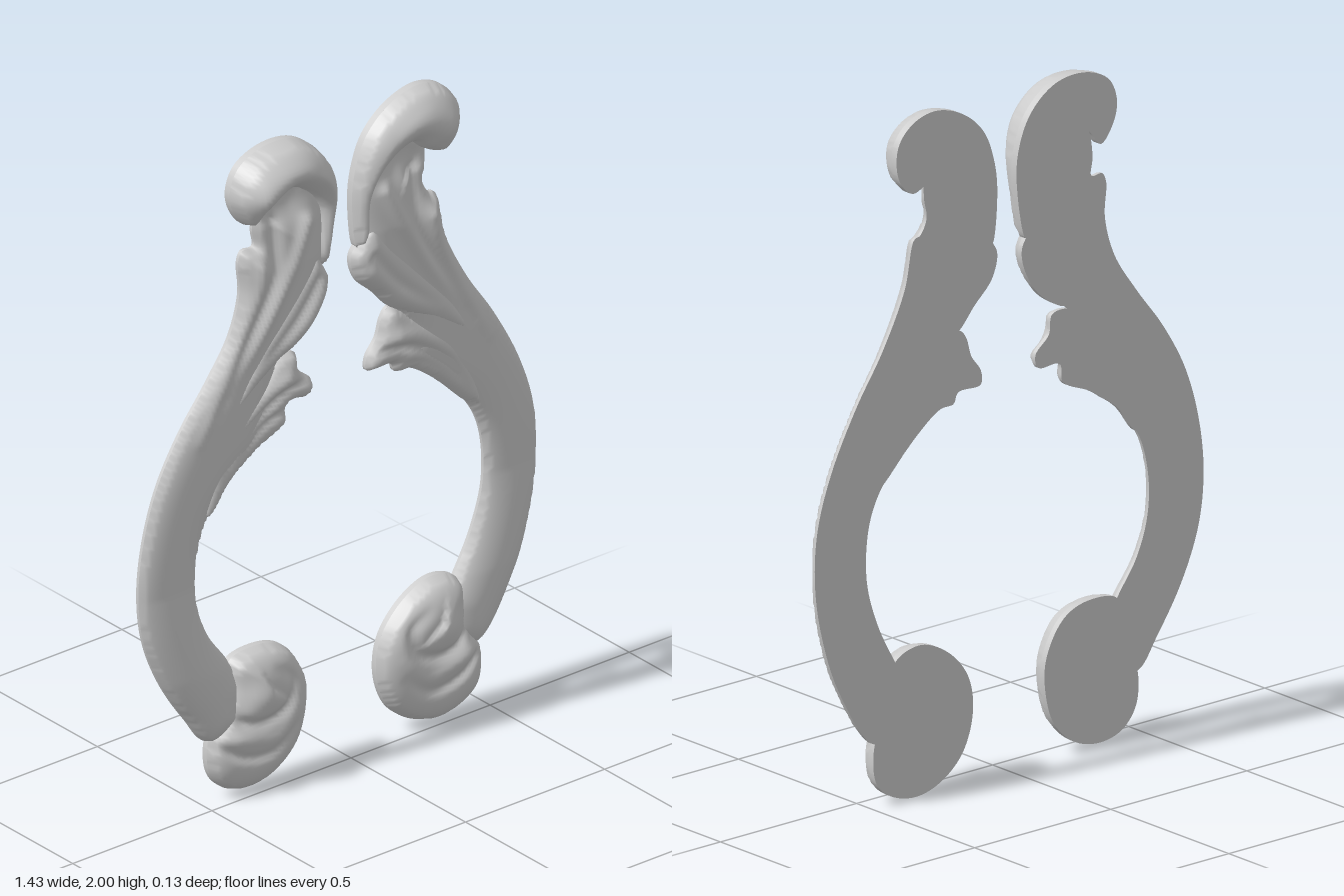
import * as THREE from 'three';

const BACK = -0.066, STEP = 0.01;
const material = new THREE.MeshStandardMaterial({ color: 0xcccccc });

// smooth curve through [x, y] points, sampled to n points
function sample(points, closed, n) {
  const v = points.map(([x, y]) => new THREE.Vector3(x, y, 0));
  return new THREE.CatmullRomCurve3(v, closed, 'centripetal').getPoints(n);
}

// nearest point on a polyline: distance, position and fraction along it
function nearest(line, x, y) {
  let best = { d: Infinity };
  for (let i = 0; i < line.length - 1; i++) {
    const a = line[i], dx = line[i + 1].x - a.x, dy = line[i + 1].y - a.y;
    const t = THREE.MathUtils.clamp(((x - a.x) * dx + (y - a.y) * dy) / (dx * dx + dy * dy || 1), 0, 1);
    const px = a.x + t * dx, py = a.y + t * dy, d = Math.hypot(x - px, y - py);
    if (d < best.d) best = { d, x: px, y: py, t: (i + t) / (line.length - 1) };
  }
  return best;
}

function inside(line, x, y) {
  let hit = false;
  for (let i = 0; i < line.length - 1; i++) {
    const a = line[i], b = line[i + 1];
    if ((a.y > y) !== (b.y > y) && x < a.x + (y - a.y) / (b.y - a.y) * (b.x - a.x)) hit = !hit;
  }
  return hit;
}

// carved relief: flat back, short wall, rounded edge, then ridges (+) and grooves (-)
function relief(name, side, { outline, wall, round, height, strokes = [] }) {
  const line = sample(outline, true, outline.length * 9);
  const carve = strokes.map(([amp, width, pts]) => ({ amp, width, path: sample(pts, false, 24) }));
  const box = new THREE.Box3().setFromPoints(line);
  const x0 = box.min.x - STEP, y0 = box.min.y - STEP;
  const nx = Math.ceil((box.max.x - x0) / STEP) + 1, ny = Math.ceil((box.max.y - y0) / STEP) + 1;
  const kept = new Set(), key = (i, j) => j * 1000 + i;
  for (let j = 0; j < ny; j++) for (let i = 0; i < nx; i++)
    if (inside(line, x0 + (i + 0.5) * STEP, y0 + (j + 0.5) * STEP)) kept.add(key(i, j));
  const has = (i, j) => kept.has(key(i, j));

  // grid corner, pulled onto the outline at the rim
  const corners = new Map();
  function corner(i, j) {
    const k = key(i, j);
    if (corners.has(k)) return corners.get(k);
    let x = x0 + i * STEP, y = y0 + j * STEP, d = 0;
    const near = nearest(line, x, y);
    if (has(i, j) && has(i - 1, j) && has(i, j - 1) && has(i - 1, j - 1)) d = near.d;
    else { x = near.x; y = near.y; }
    const e = 1 - Math.min(d / round, 1);
    let z = BACK + wall + height(x, y) * Math.sqrt(1 - e * e);
    for (const { amp, width, path } of carve) {
      const n = nearest(path, x, y);
      z += amp * Math.exp(-((n.d / width) ** 2)) * Math.min(1, d / 0.05) * (1 - 0.8 * n.t ** 3);
    }
    const p = [x * side, y, Math.max(z, BACK + 0.004)];
    corners.set(k, p);
    return p;
  }

  const pos = [], index = [], shared = new Map();
  function vert(p, tag, z = p[2]) {
    const k = tag + p[0].toFixed(5) + ',' + p[1].toFixed(5);
    if (!shared.has(k)) { shared.set(k, pos.length / 3); pos.push(p[0], p[1], z); }
    return shared.get(k);
  }
  function quad(a, b, c, d) {
    index.push(...(side > 0 ? [a, b, c, a, c, d] : [a, c, b, a, d, c]));
  }
  for (const k of kept) {
    const i = k % 1000, j = Math.floor(k / 1000);
    const c = [corner(i, j), corner(i + 1, j), corner(i + 1, j + 1), corner(i, j + 1)];
    quad(...c.map(p => vert(p, 'front')));
    quad(...c.map(p => vert(p, 'back', BACK)).reverse());
    [[0, -1], [1, 0], [0, 1], [-1, 0]].forEach(([di, dj], s) => {
      if (has(i + di, j + dj)) return;
      const a = c[s], b = c[(s + 1) % 4];
      quad(vert(a, 'low', BACK), vert(b, 'low', BACK), vert(b, 'top'), vert(a, 'top'));
    });
  }
  const geo = new THREE.BufferGeometry();
  geo.setAttribute('position', new THREE.Float32BufferAttribute(pos, 3));
  geo.setIndex(index);
  geo.computeVertexNormals();
  const mesh = new THREE.Mesh(geo, material);
  mesh.name = name;
  return mesh;
}

// stem swelling along its height
const SWELL = [[0, 0.05], [0.25, 0.055], [0.42, 0.05], [0.7, 0.03], [1.2, 0.036], [1.6, 0.044], [1.75, 0.035], [2, 0.03]];
function stemHeight(x, y) {
  const i = Math.max(1, SWELL.findIndex(s => s[0] > y));
  const [a, b] = [SWELL[i - 1], SWELL[i]];
  return THREE.MathUtils.mapLinear(y, a[0], b[0], a[1], b[1]);
}

// outlines are written on the +x side
const LEFT = {
  side: 1, knob: 0.068,
  stem: [[0.3, 1.84], [0.31, 1.76], [0.3, 1.69], [0.325, 1.645], [0.345, 1.64], [0.38, 1.5], [0.46, 1.34], [0.56, 1.19],
    [0.65, 1.02], [0.7, 0.865], [0.71, 0.71], [0.685, 0.55], [0.62, 0.37], [0.49, 0.19], [0.4, 0.22], [0.37, 0.34],
    [0.415, 0.415], [0.48, 0.54], [0.52, 0.68], [0.51, 0.84], [0.46, 0.945], [0.35, 1.05], [0.26, 1.14], [0.24, 1.24],
    [0.19, 1.33], [0.125, 1.41], [0.08, 1.5], [0.07, 1.6], [0.06, 1.75], [0.12, 1.88]],
  scroll: [[0.41, 1.87], [0.4, 1.93], [0.35, 1.98], [0.27, 2], [0.17, 1.97], [0.09, 1.9], [0.05, 1.8], [0.04, 1.7],
    [0.06, 1.56], [0.09, 1.6], [0.1, 1.72], [0.15, 1.8], [0.23, 1.84], [0.29, 1.8], [0.35, 1.775], [0.395, 1.815]],
  upper: [[0.06, 1.57], [0.04, 1.53], [0.06, 1.46], [0.125, 1.395], [0.18, 1.335], [0.3, 1.26], [0.46, 1.17],
    [0.4, 1.3], [0.28, 1.44], [0.16, 1.57], [0.1, 1.62]],
  lower: [[0.18, 1.335], [0.155, 1.31], [0.135, 1.25], [0.1, 1.2], [0.1, 1.16], [0.185, 1.155], [0.2, 1.125],
    [0.25, 1.12], [0.35, 1.05], [0.46, 0.945], [0.5, 0.92], [0.48, 1.05], [0.4, 1.18], [0.28, 1.27]],
  volute: [[0.415, 0.415], [0.325, 0.445], [0.22, 0.4], [0.145, 0.31], [0.13, 0.2], [0.17, 0.09], [0.25, 0.025],
    [0.34, 0.003], [0.43, 0.025], [0.485, 0.075], [0.49, 0.19], [0.45, 0.25], [0.43, 0.34]],
};
const RIGHT = {
  side: -1, knob: 0.094,
  stem: [[0.28, 1.84], [0.31, 1.74], [0.305, 1.68], [0.345, 1.68], [0.36, 1.65], [0.355, 1.55], [0.39, 1.43], [0.47, 1.31],
    [0.57, 1.18], [0.65, 1.04], [0.7, 0.88], [0.718, 0.72], [0.7, 0.57], [0.64, 0.42], [0.55, 0.28], [0.475, 0.19],
    [0.38, 0.22], [0.36, 0.34], [0.4, 0.42], [0.47, 0.52], [0.51, 0.63], [0.515, 0.75], [0.48, 0.88], [0.4, 0.98],
    [0.3, 1.06], [0.25, 1.2], [0.22, 1.31], [0.12, 1.4], [0.08, 1.5], [0.06, 1.62], [0.06, 1.75], [0.12, 1.88]],
  scroll: [[0.4, 1.88], [0.37, 1.95], [0.28, 1.99], [0.17, 1.98], [0.08, 1.91], [0.035, 1.8], [0.035, 1.68],
    [0.065, 1.55], [0.09, 1.6], [0.09, 1.74], [0.14, 1.81], [0.23, 1.85], [0.3, 1.81], [0.34, 1.765], [0.385, 1.815]],
  upper: [[0.07, 1.56], [0.05, 1.52], [0.06, 1.46], [0.11, 1.38], [0.18, 1.33], [0.23, 1.31], [0.42, 1.18],
    [0.37, 1.3], [0.26, 1.44], [0.15, 1.57], [0.1, 1.61]],
  lower: [[0.22, 1.31], [0.16, 1.305], [0.15, 1.25], [0.1, 1.2], [0.11, 1.16], [0.19, 1.155], [0.2, 1.1],
    [0.3, 1.05], [0.4, 0.98], [0.47, 0.895], [0.5, 0.9], [0.47, 1.05], [0.4, 1.16], [0.3, 1.25]],
  volute: [[0.4, 0.42], [0.28, 0.435], [0.2, 0.4], [0.14, 0.3], [0.137, 0.2], [0.17, 0.1], [0.25, 0.03],
    [0.34, 0.01], [0.42, 0.03], [0.47, 0.09], [0.475, 0.19], [0.44, 0.25], [0.41, 0.34]],
};

function ornament(name, o) {
  const group = new THREE.Group();
  group.name = name;
  group.add(
    relief('stem', o.side, {
      outline: o.stem, wall: 0.01, round: 0.1, height: stemHeight,
      strokes: [
        [0.02, 0.022, [[0.31, 1.67], [0.32, 1.56], [0.4, 1.38], [0.52, 1.15]]],
        [-0.014, 0.02, [[0.25, 1.74], [0.26, 1.58], [0.35, 1.4], [0.46, 1.22]]],
        [0.016, 0.02, [[0.14, 1.72], [0.2, 1.6], [0.31, 1.42], [0.42, 1.28]]],
        [-0.025, 0.06, [[0.2, 1.79], [0.27, 1.77], [0.28, 1.74]]],
      ],
    }),
    relief('topScroll', o.side, {
      outline: o.scroll, wall: 0.022, round: 0.085,
      height: (x, y) => THREE.MathUtils.lerp(0.05, o.knob, THREE.MathUtils.smoothstep(y, 1.65, 1.88)),
      strokes: [[0.016, 0.05, [[0.33, 1.88], [0.24, 1.91], [0.15, 1.88]]]],
    }),
    relief('upperLeaf', o.side, {
      outline: o.upper, wall: 0.015, round: 0.075, height: () => 0.046,
      strokes: [
        [-0.014, 0.014, [[0.1, 1.53], [0.18, 1.43], [0.32, 1.31]]],
        [0.01, 0.022, [[0.08, 1.48], [0.17, 1.38], [0.3, 1.29]]],
      ],
    }),
    relief('lowerLeaf', o.side, {
      outline: o.lower, wall: 0.012, round: 0.07, height: () => 0.036,
      strokes: [
        [-0.016, 0.014, [[0.13, 1.22], [0.24, 1.2], [0.36, 1.12], [0.45, 1.0]]],
        [-0.014, 0.013, [[0.19, 1.15], [0.29, 1.13], [0.4, 1.04]]],
        [0.012, 0.025, [[0.17, 1.25], [0.27, 1.23], [0.4, 1.13]]],
      ],
    }),
    relief('bottomVolute', o.side, {
      outline: o.volute, wall: 0.018, round: 0.1,
      height: (x, y) => THREE.MathUtils.mapLinear(y, 0, 0.4, 0.056, 0.072),
      strokes: [
        [0.024, 0.06, [[0.32, 0.31], [0.3, 0.31], [0.29, 0.32]]],
        [-0.02, 0.018, [[0.43, 0.32], [0.4, 0.25], [0.31, 0.225], [0.23, 0.26], [0.215, 0.33], [0.27, 0.375]]],
        [-0.016, 0.016, [[0.46, 0.18], [0.38, 0.13], [0.28, 0.12], [0.2, 0.18]]],
        [0.01, 0.02, [[0.44, 0.21], [0.36, 0.18], [0.27, 0.17], [0.19, 0.24]]],
      ],
    }),
  );
  return group;
}

export function createModel() {
  const model = new THREE.Group();
  model.name = 'scrollOrnaments';
  model.add(ornament('leftOrnament', LEFT), ornament('rightOrnament', RIGHT));
  return model;
}
